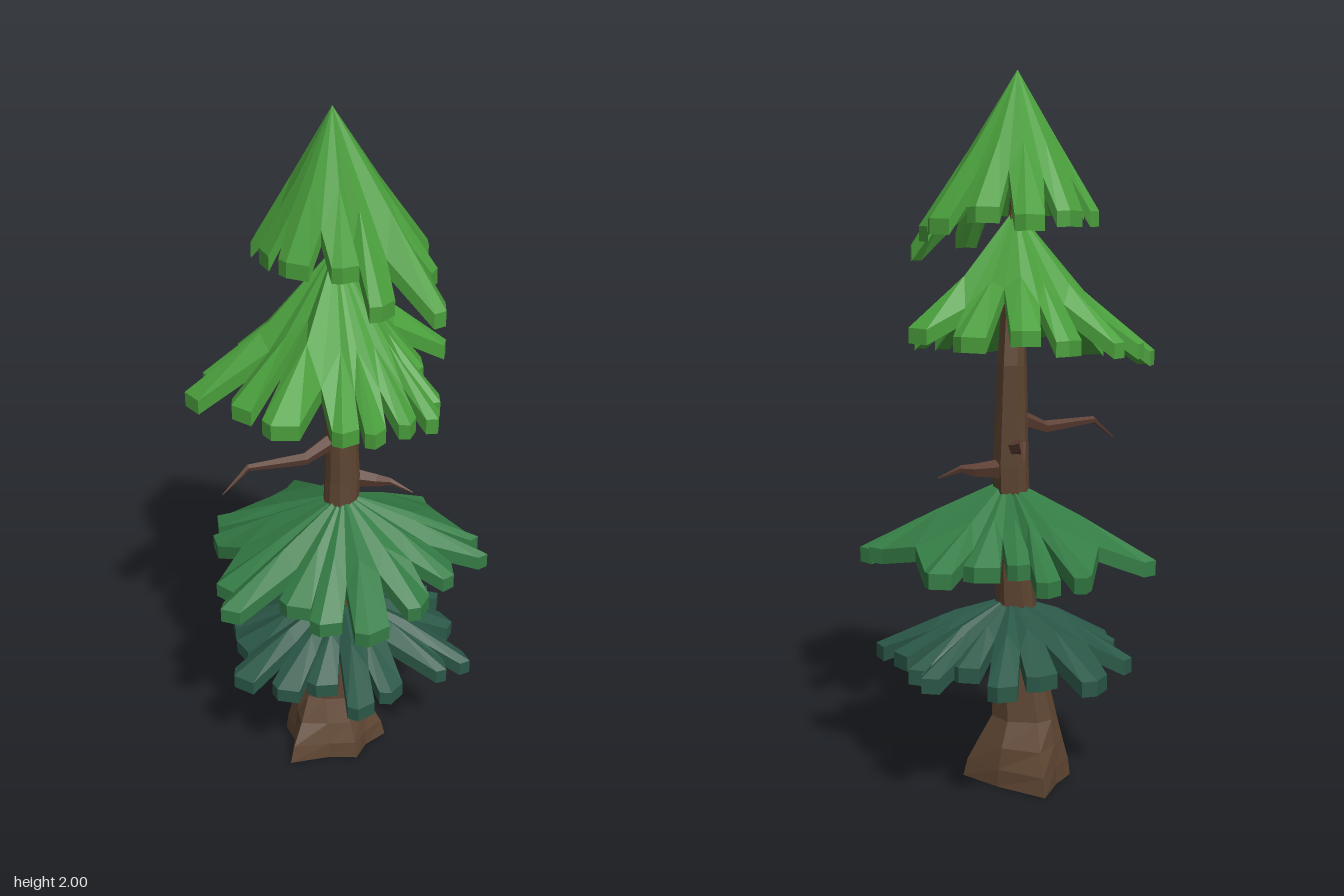
import * as THREE from 'three';

const V = (x, y, z) => new THREE.Vector3(x, y, z);
const paint = (name, color) => {
  const m = new THREE.MeshStandardMaterial({ color });
  m.name = name;
  return m;
};

// Faceted mesh from a flat list of triangle corners
function facetMesh(name, points, material) {
  const g = new THREE.BufferGeometry().setFromPoints(points);
  g.computeVertexNormals();
  const mesh = new THREE.Mesh(g, material);
  mesh.name = name;
  return mesh;
}

// Skin a stack of rings and close both ends
function loft(name, rings, material) {
  const out = [], n = rings[0].length;
  const centre = r => r.reduce((s, p) => s.add(p), V(0, 0, 0)).divideScalar(n);
  const first = rings[0], last = rings[rings.length - 1];
  const c0 = centre(first), c1 = centre(last);
  for (let j = 0; j < n; j++) {
    const k = (j + 1) % n;
    for (let i = 0; i < rings.length - 1; i++) {
      const a = rings[i], b = rings[i + 1];
      out.push(a[j], b[j], a[k], a[k], b[j], b[k]);
    }
    out.push(c0, first[j], first[k], c1, last[k], last[j]);
  }
  return facetMesh(name, out, material);
}

// Thin crooked twig through a few points, tapering to a spike
function twig(name, path, radius, material) {
  const pts = path.map(p => V(...p)), up = V(0, 1, 0);
  const d = pts[pts.length - 1].clone().sub(pts[0]).setY(0).normalize();
  const side = up.clone().cross(d);
  const rings = pts.map((p, i) => {
    const r = radius * (1 - i / (pts.length - 1)) + 0.002;
    return Array.from({ length: 5 }, (_, j) => {
      const a = j / 5 * Math.PI * 2;
      return p.clone().addScaledVector(up, r * Math.cos(a)).addScaledVector(side, r * Math.sin(a));
    });
  });
  return loft(name, rings, material);
}

// Drooping star-shaped skirt: blunt tips [x, z, y, halfWidth, depth of the notch after it]
function skirt(name, apex, tips, { power, lift, thick = 0.042 }, material) {
  const A = V(...apex);
  const list = tips.map(([x, z, y, w, notch]) => {
    const dx = x - A.x, dz = z - A.z;
    return { y, w, notch, r: Math.hypot(dx, dz), a: Math.atan2(dz, dx) };
  }).sort((p, q) => p.a - q.a);
  const n = list.length;
  const at = (angle, r, y, s = 0) => V(
    A.x + r * Math.cos(angle) - s * Math.sin(angle), y,
    A.z + r * Math.sin(angle) + s * Math.cos(angle));
  const slope = (t, y) => A.y + (y - A.y) * Math.pow(t, power);
  const notches = list.map((p, i) => {
    const q = list[(i + 1) % n];
    const gap = (q.a - p.a + Math.PI * 2) % (Math.PI * 2);
    return at(p.a + gap / 2, Math.min(p.r, q.r) * p.notch, slope(p.notch, (p.y + q.y) / 2));
  });
  const down = p => p.clone().setY(p.y - thick);
  const out = [];
  list.forEach((p, i) => {
    const N0 = notches[(i + n - 1) % n], N1 = notches[i];
    const L = at(p.a, p.r * 0.93, p.y - 0.002, -p.w), R = at(p.a, p.r * 0.95, p.y - 0.002, p.w);
    const T = at(p.a, p.r * 1.01, p.y, p.w * 0.3);
    const M = at(p.a, p.r * 0.5, slope(0.5, p.y) + lift);
    for (const [a, b, c] of [[A, M, N0], [N0, M, L], [L, M, T], [T, M, R], [R, M, N1], [A, N1, M]])
      out.push(a, b, c, down(a), down(c), down(b));
    for (const [a, b] of [[N0, L], [L, T], [T, R], [R, N1]])
      out.push(down(a), a, down(b), down(b), a, b);
  });
  return facetMesh(name, out, material);
}

export function createModel() {
  const bark = paint('bark brown', 0x5e4532);
  const twigBrown = paint('twig brown', 0x5e4034);
  const light = paint('light green', 0x4a9f3c);
  const middle = paint('middle green', 0x347c45);
  const dark = paint('dark green', 0x2b5848);
  const tree = new THREE.Group();
  tree.name = 'pineTree';

  // Root outline on the ground: [angle in degrees, reach], roots alternate with hollows
  const roots = [
    [-115, 0.192], [-60, 0.11], [-4, 0.16], [24, 0.12], [51, 0.145],
    [86, 0.125], [121, 0.2], [150, 0.13], [176, 0.15], [211, 0.13],
  ];
  // Trunk rings: [y, centre x, centre z, radius x, radius z, share of the root outline]
  const trunk = [
    [0, -0.03, 0.01, 0.1, 0.1, 1], [0.05, -0.032, 0.01, 0.108, 0.1, 0.8],
    [0.11, -0.038, 0.008, 0.1, 0.085, 0.4], [0.18, -0.047, 0.01, 0.09, 0.066, 0.06],
    [0.36, -0.03, 0.012, 0.069, 0.056, 0], [0.65, -0.015, -0.005, 0.051, 0.056, 0],
    [0.92, -0.008, -0.02, 0.051, 0.052, 0], [1.2, -0.012, -0.02, 0.041, 0.05, 0],
    [1.45, -0.015, 0, 0.028, 0.03, 0], [1.72, -0.02, 0.015, 0.01, 0.01, 0],
  ].map(([y, cx, cz, rx, rz, share]) => roots.map(([deg, reach]) => {
    const a = THREE.MathUtils.degToRad(deg), mix = THREE.MathUtils.lerp;
    return V(cx + mix(rx, reach, share) * Math.cos(a), y, cz + mix(rz, reach, share) * Math.sin(a));
  }));
  tree.add(loft('trunk', trunk, bark));

  // Bare twigs
  tree.add(twig('rightTwig', [[-0.03, 1.05, 0], [-0.1, 1.015, 0.06], [-0.24, 1.025, 0.15], [-0.3, 0.965, 0.205]], 0.024, twigBrown));
  tree.add(twig('leftTwig', [[0.02, 0.91, -0.04], [0.09, 0.905, -0.04], [0.13, 0.908, -0.035], [0.195, 0.88, -0.03]], 0.026, twigBrown));
  tree.add(twig('backTwig', [[-0.02, 0.97, -0.04], [-0.04, 0.985, -0.12], [-0.05, 1.008, -0.23], [-0.055, 0.975, -0.31]], 0.024, twigBrown));

  // Foliage from the bottom up
  tree.add(skirt('lowestFoliage', [-0.01, 0.54, 0], [
    [0.385, 0.055, 0.375, 0.03, 0.78], [0.325, 0.12, 0.385, 0.03, 0.6], [0.19, 0.25, 0.385, 0.04, 0.75],
    [0.11, 0.33, 0.375, 0.04, 0.6], [-0.02, 0.27, 0.39, 0.045, 0.7], [-0.13, 0.29, 0.375, 0.045, 0.6],
    [-0.27, 0.25, 0.37, 0.045, 0.75], [-0.3, 0.11, 0.385, 0.045, 0.6], [-0.35, -0.02, 0.37, 0.045, 0.7],
    [-0.26, -0.27, 0.38, 0.05, 0.65], [-0.11, -0.28, 0.39, 0.045, 0.7], [0, -0.335, 0.375, 0.04, 0.6],
    [0.11, -0.25, 0.4, 0.04, 0.75], [0.21, -0.285, 0.38, 0.03, 0.8], [0.25, -0.24, 0.39, 0.03, 0.6],
    [0.31, -0.1, 0.395, 0.045, 0.7],
  ], { power: 1.1, lift: 0.01 }, dark));

  tree.add(skirt('lowerFoliage', [0, 0.88, 0], [
    [0.41, -0.05, 0.685, 0.025, 0.75], [0.375, -0.115, 0.7, 0.025, 0.58], [0.18, -0.335, 0.68, 0.04, 0.82],
    [0.06, -0.3, 0.69, 0.05, 0.8], [-0.05, -0.31, 0.7, 0.035, 0.7], [-0.13, -0.37, 0.67, 0.035, 0.75],
    [-0.225, -0.355, 0.68, 0.03, 0.58], [-0.41, -0.115, 0.675, 0.04, 0.75], [-0.4, -0.03, 0.66, 0.04, 0.6],
    [-0.325, 0.2, 0.655, 0.04, 0.78], [-0.285, 0.305, 0.65, 0.035, 0.55], [-0.1, 0.27, 0.66, 0.05, 0.7],
    [0.0, 0.31, 0.64, 0.045, 0.65], [0.14, 0.325, 0.64, 0.05, 0.7], [0.26, 0.2, 0.66, 0.045, 0.65],
    [0.33, 0.07, 0.69, 0.045, 0.7],
  ], { power: 0.92, lift: 0.012 }, middle));

  tree.add(skirt('upperFoliage', [-0.02, 1.63, 0.01], [
    [0.285, 0.215, 1.265, 0.03, 0.78], [0.28, 0.14, 1.275, 0.03, 0.7], [0.22, 0.03, 1.32, 0.045, 0.7],
    [0.25, -0.16, 1.31, 0.045, 0.65], [0.1, -0.21, 1.29, 0.05, 0.75], [-0.06, -0.25, 1.31, 0.04, 0.55],
    [-0.18, -0.19, 1.28, 0.045, 0.7], [-0.32, -0.1, 1.27, 0.04, 0.65], [-0.375, 0.06, 1.255, 0.03, 0.78],
    [-0.405, 0.135, 1.23, 0.04, 0.6], [-0.25, 0.22, 1.25, 0.045, 0.6], [-0.105, 0.375, 1.29, 0.05, 0.35],
    [0.06, 0.31, 1.25, 0.035, 0.75], [0.14, 0.3, 1.25, 0.03, 0.75], [0.22, 0.25, 1.26, 0.03, 0.75],
  ], { power: 0.72, lift: 0.01 }, light));

  tree.add(skirt('topFoliage', [-0.025, 2, 0.02], [
    [0.285, 0.12, 1.525, 0.04, 0.75], [0.24, -0.02, 1.58, 0.045, 0.7], [0.19, -0.16, 1.6, 0.045, 0.7],
    [0.06, -0.22, 1.63, 0.045, 0.75], [-0.07, -0.25, 1.61, 0.04, 0.7], [-0.18, -0.17, 1.62, 0.045, 0.75],
    [-0.25, -0.05, 1.62, 0.045, 0.75], [-0.2, 0.09, 1.64, 0.045, 0.75], [-0.1, 0.19, 1.65, 0.045, 0.68],
    [0.04, 0.195, 1.65, 0.035, 0.75], [0.14, 0.2, 1.56, 0.04, 0.75],
  ], { power: 0.9, lift: 0.01 }, light));
  return tree;
}
